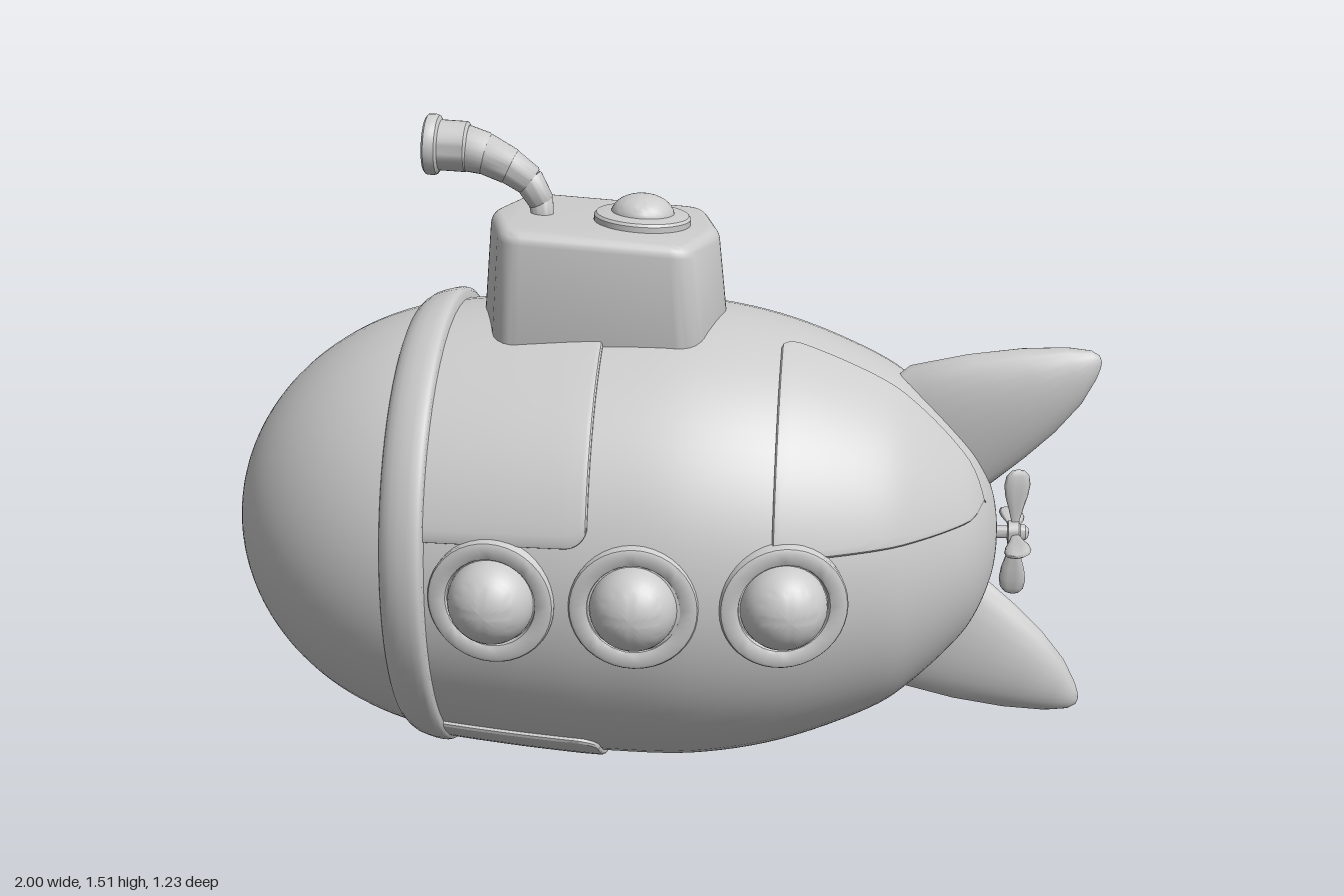
import * as THREE from 'three';
import { toCreasedNormals } from 'three/addons/utils/BufferGeometryUtils.js';

const AXIS_Y = 0.552;
const V2 = (p) => new THREE.Vector2(p[0], p[1]);
const material = new THREE.MeshStandardMaterial({ color: 0xcccccc, side: THREE.DoubleSide });

function add(parent, name, geometry, x = 0, y = 0, z = 0) {
  const mesh = new THREE.Mesh(geometry, material);
  mesh.name = name;
  mesh.position.set(x, y, z);
  parent.add(mesh);
  return mesh;
}

// Lathe from [radius, height] pairs, listed bottom to top
const lathe = (pts, seg = 40, crease = 0.6) =>
  toCreasedNormals(new THREE.LatheGeometry(pts.map(V2), seg), crease);

// Quad grid from a position rule; rows run along i, columns along j
function grid(ni, nj, at, crease) {
  const pos = [], idx = [];
  for (let i = 0; i <= ni; i++) for (let j = 0; j <= nj; j++) pos.push(...at(i, j));
  for (let i = 0; i < ni; i++) for (let j = 0; j < nj; j++) {
    const a = i * (nj + 1) + j, b = a + nj + 1;
    idx.push(a, a + 1, b, b, a + 1, b + 1);
  }
  const g = new THREE.BufferGeometry();
  g.setAttribute('position', new THREE.Float32BufferAttribute(pos, 3));
  g.setIndex(idx);
  return toCreasedNormals(g, crease);
}

// Hull outline as [x, radius]
const hullCurve = new THREE.SplineCurve([
  [-0.52, 0.505], [-0.4, 0.518], [-0.25, 0.531], [-0.1, 0.539], [0.1, 0.535], [0.3, 0.495], [0.5, 0.415],
  [0.6, 0.345], [0.7, 0.245], [0.745, 0.175], [0.773, 0.1], [0.783, 0.045], [0.785, 0]].map(V2));
const hullPts = hullCurve.getPoints(72);

function hullRadius(x) {
  const k = Math.max(1, hullPts.findIndex((p) => p.x >= x));
  const a = hullPts[k - 1], b = hullPts[k];
  return THREE.MathUtils.mapLinear(x, a.x, b.x, a.y, b.y);
}

// Raised plate on the hull; angles run from the top towards +z
function panel(x0, x1, lo, hi, roundStart, roundEnd) {
  const n = 32, rc = 0.05, lift = [-0.012, 0.006, 0.01];
  const ease = (k) => (1 - Math.cos((Math.PI * k) / n)) / 2;
  // Corner rounding at distance d from a plate end
  const inset = (d) => {
    const e = THREE.MathUtils.clamp(1 - d / rc, 0, 1);
    return rc * (1 - Math.sqrt(1 - e * e));
  };
  return grid(n, n, (i, j) => {
    const x = x0 + (x1 - x0) * ease(i), r = hullRadius(x);
    const cut = ((roundStart ? inset(x - x0) : 0) + (roundEnd ? inset(x1 - x) : 0)) / r;
    const mid = (lo(r) + hi(r)) / 2, half = Math.max(0, (hi(r) - lo(r)) / 2 - cut);
    const t = mid + half * (2 * ease(j) - 1);
    const R = r + (lift[Math.min(i, j, n - i, n - j)] ?? 0.011);
    return [x, AXIS_Y + R * Math.cos(t), R * Math.sin(t)];
  }, 0.5);
}

// Fin built from [topX, topY, bottomX, bottomY, halfThickness] sections
function finGeometry() {
  const s = [
    [0.48, 0.88, 0.65, 0.6, 0.04], [0.57, 0.96, 0.755, 0.67, 0.053], [0.7, 0.99, 0.84, 0.745, 0.056],
    [0.82, 1.007, 0.905, 0.81, 0.051], [0.92, 1.012, 0.96, 0.88, 0.038], [0.975, 1.006, 0.99, 0.94, 0.022],
    [0.994, 0.995, 0.998, 0.965, 0.01], [1, 0.98, 1, 0.98, 0]];
  return grid(s.length - 1, 24, (i, j) => {
    const [ax, ay, bx, by, w] = s[i], t = (j / 24) * Math.PI * 2, c = (1 + Math.cos(t)) / 2;
    return [bx + (ax - bx) * c, by + (ay - by) * c - 0.56, w * Math.sin(t)];
  }, 1.2);
}

// Half-dome profile points with radius r, height h and base level y
const dome = (r, h, y) => Array.from({ length: 11 }, (_, k) => {
  const t = (k / 10) * Math.PI / 2;
  return [k === 10 ? 0 : r * Math.cos(t), y + h * Math.sin(t)];
});

// Closed outline with every corner rounded over distance d
function roundedOutline(points, d) {
  const shape = new THREE.Shape(), pts = points.map(V2), n = pts.length;
  const toward = (a, b) => b.clone().sub(a).setLength(d).add(a);
  pts.forEach((c, i) => {
    const from = toward(c, pts[(i + n - 1) % n]), to = toward(c, pts[(i + 1) % n]);
    if (i === 0) shape.moveTo(from.x, from.y);
    else shape.lineTo(from.x, from.y);
    shape.quadraticCurveTo(c.x, c.y, to.x, to.y);
  });
  shape.closePath();
  return shape;
}

export function createModel() {
  const model = new THREE.Group();
  model.name = 'submarine';

  // Hull, nose and collar share the long axis
  const along = (g) => g.rotateZ(-Math.PI / 2);
  add(model, 'hull', along(lathe(hullPts.map((p) => [Math.max(p.y, 0), p.x]), 72, 0.8)), 0, AXIS_Y);
  const nose = Array.from({ length: 31 }, (_, k) => {
    const t = (k / 30) * 1.4;
    return [0.518 * Math.sin(t), -0.4 - 0.6 * Math.cos(t)];
  });
  add(model, 'nose', along(lathe(nose, 72, 0.8)), 0, 0.56);
  add(model, 'collar', along(lathe([[0.48, -0.575], [0.503, -0.567], [0.515, -0.555], [0.525, -0.54], [0.532, -0.52],
    [0.537, -0.5], [0.539, -0.485], [0.537, -0.475], [0.529, -0.469], [0.49, -0.467]], 72, 0.8)), 0, 0.561);

  // Hull plates
  add(model, 'topPlate', panel(-0.5, -0.11, () => -1.32, () => 1.32, false, true));
  add(model, 'bottomPlate', panel(-0.5, -0.11, () => Math.PI - 0.77, () => Math.PI + 0.77, false, true));
  add(model, 'rearSidePlate', panel(0.28, 0.75, (r) => Math.asin(0.1 / r), (r) => Math.acos(0.108 / r), true, true));
  add(model, 'rearBottomPlate', panel(0.08, 0.42, () => Math.PI, () => Math.PI + 1.17, true, true));

  // Portholes, mirrored on both sides
  const frame = lathe([[0.14, -0.08], [0.14, 0], [0.137, 0.005], [0.13, 0.008], [0.106, 0.008], [0.1, 0.004], [0.097, -0.006], [0, -0.006]]);
  const glass = lathe(dome(0.095, 0.088, -0.008));
  for (const side of [1, -1]) {
    for (const [x, z, yaw] of [[-0.32, 0.528, -0.09], [-0.01, 0.534, 0.03], [0.31, 0.498, 0.21]]) {
      const porthole = new THREE.Group();
      porthole.name = side > 0 ? 'frontPorthole' : 'backPorthole';
      add(porthole, 'portholeFrame', frame);
      add(porthole, 'portholeGlass', glass);
      porthole.position.set(x, 0.562, side * z);
      porthole.rotation.set(side * Math.PI / 2, 0, -yaw);
      model.add(porthole);
    }
  }

  // Tower: bevelled six-sided block, narrowing upwards with a sloping roof
  const plan = roundedOutline([[-0.388, 0], [-0.333, -0.185], [0.08, -0.185], [0.13, 0], [0.08, 0.185], [-0.333, 0.185]], 0.03);
  const block = new THREE.ExtrudeGeometry(plan, {
    depth: 0.345, bevelSize: 0.027, bevelThickness: 0.027, bevelSegments: 5, curveSegments: 5 }).rotateX(-Math.PI / 2);
  const p = block.attributes.position;
  for (let i = 0; i < p.count; i++) {
    const x = p.getX(i), h = THREE.MathUtils.clamp((p.getY(i) - 0.13) / 0.25, -0.4, 1);
    p.setX(i, -0.13 + (x + 0.13) * (1 - 0.09 * h));
    if (h > 0.5) p.setY(i, p.getY(i) - 0.06 * (x + 0.13));
  }
  add(model, 'tower', toCreasedNormals(block, 0.7), 0, 0.915);

  // Roof hatch
  const hatch = new THREE.Group();
  hatch.name = 'hatch';
  add(hatch, 'hatchRim', lathe([[0.11, -0.02], [0.11, 0.014], [0.105, 0.02], [0.078, 0.024], [0, 0.024]]));
  add(hatch, 'hatchDome', lathe(dome(0.072, 0.047, 0.018)));
  hatch.position.set(-0.045, 1.28, 0);
  hatch.rotation.z = -0.06;
  model.add(hatch);

  // Periscope: flared sleeves stepping along a bend, then the eyepiece
  const periscope = new THREE.Group();
  periscope.name = 'periscope';
  const bend = new THREE.CatmullRomCurve3([[-0.27, 1.26], [-0.274, 1.322], [-0.3, 1.37], [-0.345, 1.402], [-0.4, 1.43], [-0.455, 1.444]]
    .map(([x, y]) => new THREE.Vector3(x, y, 0)));
  const up = new THREE.Vector3(0, 1, 0);
  for (let k = 0; k < 5; k++) {
    const a = bend.getPoint(k / 5), b = bend.getPoint(Math.min(1, (k + 1.12) / 5));
    const r = 0.023 + 0.0062 * k, len = a.distanceTo(b);
    const sleeve = add(periscope, 'periscopeSleeve', lathe([[0, -0.006], [r - 0.003, -0.004], [r, 0], [r + 0.005, len - 0.004], [r + 0.003, len], [0, len]], 28));
    sleeve.position.copy(a);
    sleeve.quaternion.setFromUnitVectors(up, b.clone().sub(a).normalize());
  }
  const eye = add(periscope, 'eyepiece', lathe([[0, 0], [0.05, 0], [0.057, 0.006], [0.057, 0.065], [0.066, 0.07], [0.069, 0.078],
    [0.068, 0.094], [0.062, 0.099], [0.055, 0.094], [0.051, 0.075], [0.03, 0.083], [0, 0.086]], 36), -0.436, 1.444);
  eye.rotation.z = Math.PI / 2 - 0.05;
  model.add(periscope);

  // Tail fins
  const fin = finGeometry();
  add(model, 'upperFin', fin, 0, 0.56);
  add(model, 'lowerFin', fin, 0, 0.56).rotation.x = Math.PI;

  // Propeller with four pitched blades
  const propeller = new THREE.Group();
  propeller.name = 'propeller';
  add(propeller, 'hub', along(lathe([[0.015, -0.07], [0.015, -0.018], [0.027, -0.016], [0.027, 0.008], [0.02, 0.012], [0.018, 0.024], [0.011, 0.031], [0, 0.033]], 24)));
  const blade = lathe([[0.009, 0], [0.01, 0.03], [0.018, 0.06], [0.027, 0.09], [0.031, 0.118], [0.027, 0.14], [0.016, 0.152], [0, 0.156]], 20, 1.2)
    .scale(1, 1, 0.3).rotateY(0.2);
  for (let k = 0; k < 4; k++) add(propeller, 'blade', blade).rotation.x = (k * Math.PI) / 2;
  propeller.position.set(0.827, 0.56, 0);
  model.add(propeller);

  return model;
}
